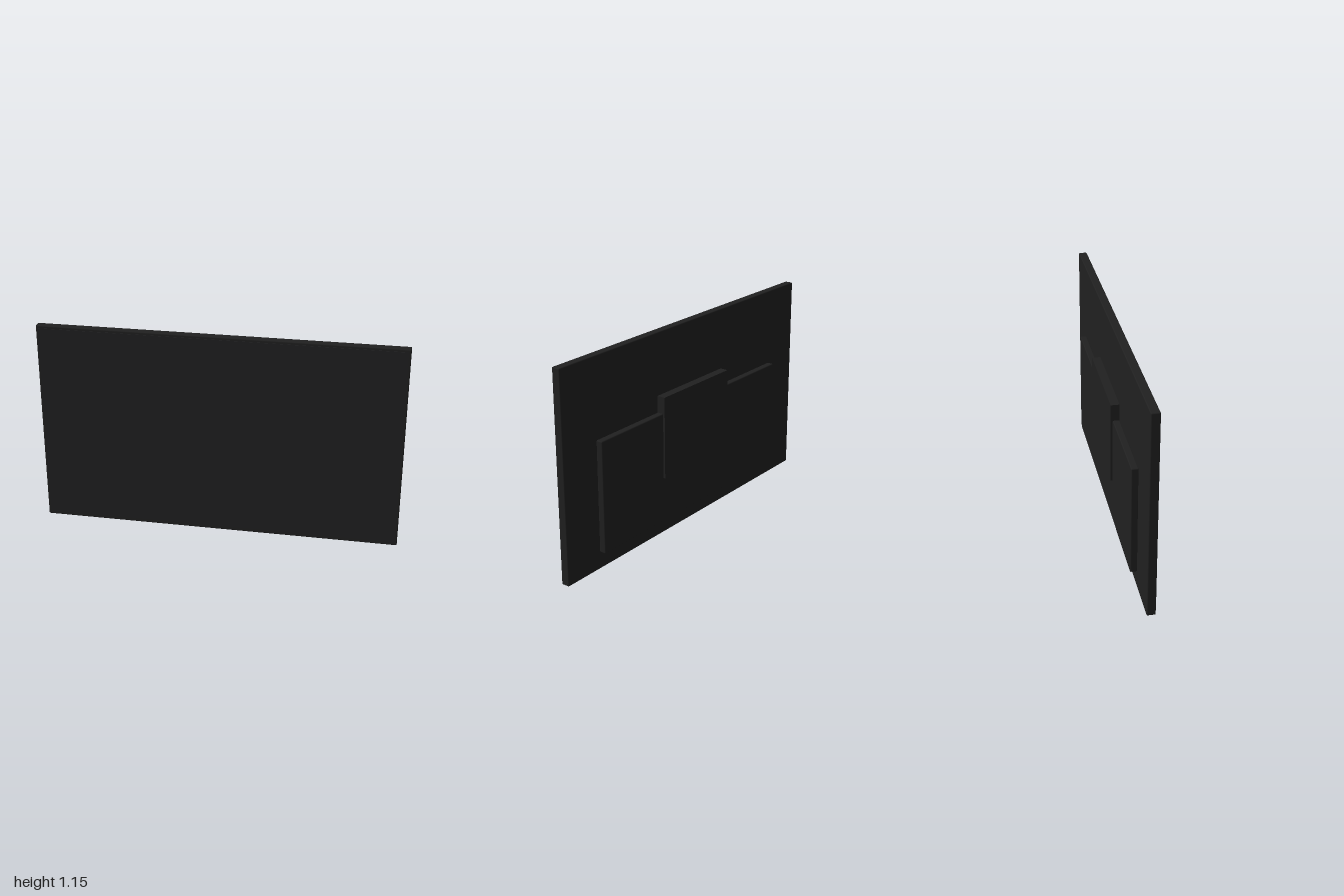
import * as THREE from 'three';
import { RoundedBoxGeometry } from 'three/addons/geometries/RoundedBoxGeometry.js';

export function createModel() {
  const model = new THREE.Group();
  model.name = 'flatScreen';
  const casing = new THREE.MeshStandardMaterial({ color: 0x202020 });
  casing.name = 'black casing';
  const glass = new THREE.MeshStandardMaterial({ color: 0x202021 });
  glass.name = 'dark screen';

  // Box given by its extents; radius 0 keeps the edges sharp
  function block(name, material, [x0, x1], [y0, y1], [z0, z1], radius = 0) {
    const size = [x1 - x0, y1 - y0, z1 - z0];
    const geometry = radius
      ? new RoundedBoxGeometry(...size, 2, radius)
      : new THREE.BoxGeometry(...size);
    const mesh = new THREE.Mesh(geometry, material);
    mesh.name = name;
    mesh.position.set((x0 + x1) / 2, (y0 + y1) / 2, (z0 + z1) / 2);
    model.add(mesh);
  }

  // Main panel with softened edges
  block('panelFrame', casing, [-1, 1], [0, 1.155], [-0.001, 0.046], 0.006);
  // Thin screen face, with a slightly taller lower bezel
  block('screen', glass, [-0.985, 0.985], [0.025, 1.14], [0.042, 0.049]);
  // Wide electronics housing on the back
  block('rearHousing', casing, [-0.76, 0.76], [0.095, 0.717], [-0.037, 0.002], 0.006);
  // Sharp-edged wall mount plate
  block('wallMount', casing, [-0.28, 0.28], [0.35, 0.81], [-0.048, 0]);

  return model;
}
